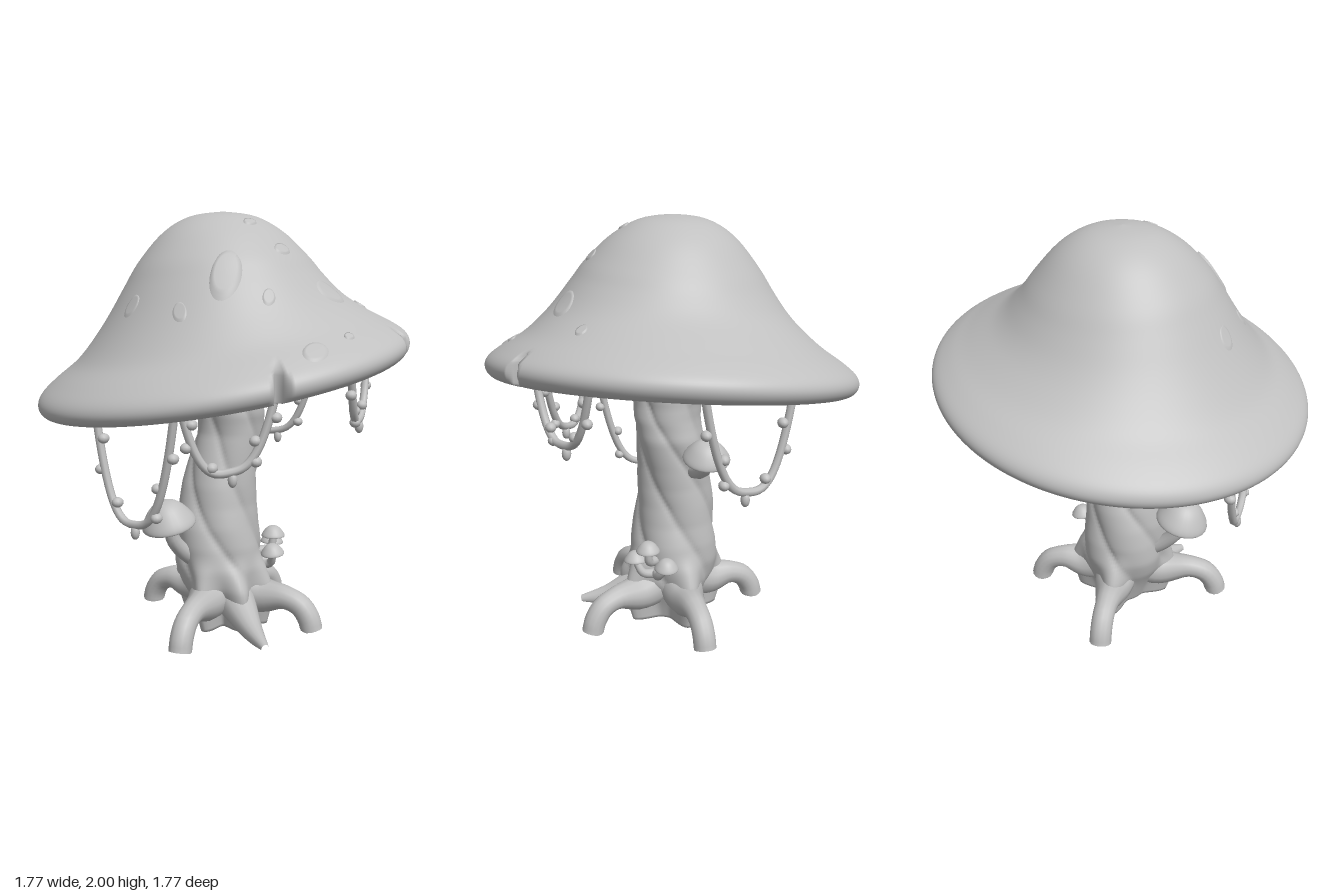
import * as THREE from 'three';

const V = (x, y, z) => new THREE.Vector3(x, y, z);
const smooth = THREE.MathUtils.smoothstep;
const grey = new THREE.MeshStandardMaterial({ color: 0xc0c0c0 });
grey.name = 'plain grey';

function add(parent, geometry, name) {
  const mesh = new THREE.Mesh(geometry, grey);
  mesh.name = name;
  parent.add(mesh);
  return mesh;
}

// Smallest difference between two angles
const angleGap = (a, b) => Math.abs(Math.atan2(Math.sin(a - b), Math.cos(a - b)));

// Closed ring surface: rows of points around the y axis, angle 0 at +z
function ringSurface(rows, segments, point) {
  const positions = [], index = [];
  for (let i = 0; i <= rows; i++) {
    for (let j = 0; j < segments; j++) {
      positions.push(...point(i / rows, (j / segments) * Math.PI * 2));
      if (i === rows) continue;
      const a = i * segments + j, c = i * segments + (j + 1) % segments;
      index.push(a, a + segments, c, c, a + segments, c + segments);
    }
  }
  const g = new THREE.BufferGeometry();
  g.setAttribute('position', new THREE.Float32BufferAttribute(positions, 3));
  g.setIndex(index);
  g.computeVertexNormals();
  return g;
}

// Tube whose radius follows a rule, never going below the ground
function taperTube(points, radius, n = 20, sides = 14) {
  const curve = new THREE.CatmullRomCurve3(points);
  const g = new THREE.TubeGeometry(curve, n, 1, sides);
  const p = g.attributes.position, v = V(0, 0, 0);
  for (let i = 0; i <= n; i++) {
    const c = curve.getPointAt(i / n);
    for (let j = 0; j <= sides; j++) {
      const k = i * (sides + 1) + j;
      v.fromBufferAttribute(p, k).sub(c).multiplyScalar(radius(i / n)).add(c);
      p.setXYZ(k, v.x, Math.max(v.y, 0), v.z);
    }
  }
  return g;
}

// Linear lookup in [key, value] pairs with increasing keys
function lookup(table, key) {
  let i = 1;
  while (i < table.length - 1 && table[i][0] < key) i++;
  const [k0, v0] = table[i - 1], [k1, v1] = table[i];
  return v0 + (v1 - v0) * THREE.MathUtils.clamp((key - k0) / (k1 - k0), 0, 1);
}

// Cap profile from the crown over the rim to the inside of the lip
const capProfile = new THREE.SplineCurve([
  [0, 2], [0.155, 1.977], [0.285, 1.903], [0.4, 1.78], [0.47, 1.68], [0.54, 1.583], [0.61, 1.503],
  [0.7, 1.42], [0.8, 1.353], [0.865, 1.3], [0.885, 1.255], [0.87, 1.215], [0.83, 1.195],
  [0.775, 1.205], [0.73, 1.25], [0.71, 1.31],
].map(([r, y]) => new THREE.Vector2(r, y)));
const topTable = capProfile.getPoints(90).slice(0, 55).map((p) => [p.x, p.y]);
const tilt = (x, z, r) => 0.15 * x * smooth(r, 0.38, 0.72) + 0.09 * z * smooth(r, 0.2, 0.55);

function buildCap(parent) {
  const cap = new THREE.Group();
  cap.name = 'cap';
  parent.add(cap);
  // Two V-shaped splits in the front rim
  const limit = (a) => Math.min(...[-0.525, 0.47].map((n) => {
    const d = angleGap(a, n);
    return d < 0.04 ? 0.775 + d * 2.8 : 1;
  }));
  add(cap, ringSurface(70, 300, (t, a) => {
    const p = capProfile.getPoint(t);
    const r = Math.min(p.x, limit(a)), x = r * Math.sin(a), z = r * Math.cos(a);
    return [x, p.y + tilt(x, z, p.x), z];
  }), 'capShell');

  // Slightly curved radial gills with rounded ridges and deep valleys
  add(cap, ringSurface(14, 384, (t, a) => {
    const r = 0.75 - 0.62 * t, turn = a + 0.22 * t * t;
    const ridge = Math.sqrt(Math.abs(Math.cos(16 * a))) * smooth(t, -0.05, 0.12);
    const x = r * Math.sin(turn), z = r * Math.cos(turn);
    return [x, 1.3 + 0.06 * t - 0.07 * ridge * (1 - 0.35 * t) + 0.15 * x + 0.09 * z, z];
  }), 'gills');

  // Slightly raised oval spots that follow the cap
  const spots = [
    [-0.32, 0.33, 0.083, 0.065, 0.018], [-0.22, 0.49, 0.035, 0.025], [-0.01, 0.38, 0.05, 0.025],
    [0.15, 0.53, 0.09, 0.05], [-0.22, 0.75, 0.07, 0.05], [0, 0.755, 0.03, 0.02],
    [-0.05, 0.22, 0.04, 0.025], [0.43, 0.49, 0.03, 0.03], [-0.52, -0.06, 0.03, 0.045],
    [-0.5, 0.23, 0.025, 0.04],
  ];
  for (const [cx, cz, rx, rz, lift = 0.007] of spots) {
    const g = new THREE.RingGeometry(0.001, 1, 28, 6);
    const p = g.attributes.position;
    for (let i = 0; i < p.count; i++) {
      const edge = Math.hypot(p.getX(i), p.getY(i)) > 0.99;
      const x = cx + p.getX(i) * rx, z = cz - p.getY(i) * rz, r = Math.hypot(x, z);
      p.setXYZ(i, x, lookup(topTable, r) + tilt(x, z, r) + (edge ? -0.006 : lift), z);
    }
    g.computeVertexNormals();
    add(cap, g, 'capSpot');
  }
}

function buildStem(parent) {
  // Arched roots as [angle, reach], and the angle of the pointed root
  const arched = [[0.36, 0.47], [1.7, 0.45], [3.3, 0.45], [-1.2, 0.5]];
  const pointed = -0.38;
  const rootAngles = [...arched.map((r) => r[0]), pointed];

  // Twisted five-strand trunk with a gentle bend, swelling into the roots
  const width = [[0, 0.13], [0.1, 0.165], [0.2, 0.2], [0.3, 0.213], [0.4, 0.21], [0.6, 0.188], [0.8, 0.17],
    [1, 0.158], [1.12, 0.162], [1.22, 0.18], [1.3, 0.2], [1.38, 0.23]];
  const bendX = [[0, 0], [0.5, -0.03], [0.7, -0.015], [0.95, 0.03], [1.15, 0.015], [1.38, -0.02]];
  const bendZ = [[0, 0], [0.6, -0.015], [0.8, 0], [1.05, 0.035], [1.38, 0.01]];
  add(parent, ringSurface(80, 120, (t, a) => {
    const y = Math.max(0, 1.38 * (1 - t / 0.985));
    const strand = Math.abs(Math.cos(2.5 * (a + 0.04 + 3.2 * y)));
    const swell = rootAngles.reduce((s, b) => s + Math.exp(-((angleGap(a, b) / 0.27) ** 2)), 0);
    const twisted = lookup(width, y) * (0.9 + 0.13 * Math.sqrt(strand) * smooth(y, 0.05, 0.3));
    const r = t > 0.99 ? 0.001 : twisted + 0.12 * Math.min(swell, 1) * (1 - smooth(y, 0.08, 0.38));
    return [lookup(bendX, y) + r * Math.sin(a), y, lookup(bendZ, y) + r * Math.cos(a)];
  }), 'stem');

  // Four arched roots with flat feet
  for (const [a, reach] of arched) {
    const at = (r, y) => V(r * Math.sin(a), y, r * Math.cos(a));
    const path = [at(0.06, 0.2), at(0.2, 0.145), at(reach - 0.14, 0.145), at(reach - 0.06, 0.115),
      at(reach - 0.015, 0.055), at(reach, 0)];
    add(parent, taperTube(path, (t) => 0.105 - 0.05 * smooth(t, 0.15, 0.65)), 'archedRoot');
    const foot = add(parent, new THREE.CircleGeometry(0.055, 14), 'rootFoot');
    foot.rotation.x = Math.PI / 2;
    foot.position.copy(at(reach, 0.001));
  }
  // One pointed root lying on the ground
  const along = (r, y) => V(r * Math.sin(pointed), y, r * Math.cos(pointed));
  add(parent, taperTube([along(0.06, 0.18), along(0.2, 0.11), along(0.34, 0.045), along(0.48, 0.008)],
    (t) => 0.12 - 0.1 * t), 'pointedRoot');
}

// Small mushroom: curved stalk from the trunk and a domed cap
function smallMushroom(parent, path, stalk, radius, height, lean) {
  const group = new THREE.Group();
  group.name = 'smallMushroom';
  parent.add(group);
  add(group, taperTube(path, (t) => stalk * (1.15 - 0.35 * t), 12, 12), 'stalk');
  const outline = new THREE.SplineCurve([[0, 0.12], [0.55, 0.06], [0.9, -0.08], [1, 0], [0.9, 0.28],
    [0.62, 0.7], [0.32, 0.94], [0, 1]].map(([r, y]) => new THREE.Vector2(r, y)));
  const points = outline.getPoints(28);
  points.forEach((p) => { p.x = Math.max(p.x, 0); });
  const cap = add(group, new THREE.LatheGeometry(points, 24), 'smallCap');
  cap.scale.set(radius, height, radius);
  cap.position.copy(path[path.length - 1]);
  cap.rotation.z = lean;
}

// Hanging vine between two points under the cap, dotted with buds
function vine(parent, a, b, bottom) {
  const group = new THREE.Group();
  group.name = 'vine';
  parent.add(group);
  const points = [];
  for (let i = 0; i <= 18; i++) {
    const t = i / 18, p = a.clone().lerp(b, t);
    p.y -= ((a.y + b.y) / 2 - bottom) * (1 - Math.abs(2 * t - 1) ** 2.9);
    points.push(p);
  }
  const curve = new THREE.CatmullRomCurve3(points);
  add(group, new THREE.TubeGeometry(curve, 56, 0.019, 8), 'vineStrand');
  const side = b.clone().sub(a).setY(0).normalize();
  const bud = new THREE.SphereGeometry(0.025, 12, 8);
  [0.2, 0.31, 0.42, 0.51, 0.64, 0.75, 0.86].forEach((t, i) => {
    const m = add(group, bud, 'bud');
    const out = i % 2 ? 1 : -1;
    m.position.copy(curve.getPointAt(t));
    if (i === 3) {
      m.position.y -= 0.035;
      m.scale.set(0.85, 1.35, 0.85);
    } else {
      m.position.addScaledVector(side, out * 0.028);
      m.scale.set(1.15, 0.95, 1);
    }
  });
}

export function createModel() {
  const model = new THREE.Group();
  model.name = 'mushroomTree';
  buildCap(model);
  buildStem(model);

  smallMushroom(model, [V(-0.15, 0.32, -0.03), V(-0.25, 0.39, -0.03), V(-0.31, 0.46, -0.03), V(-0.335, 0.54, -0.03)],
    0.038, 0.13, 0.118, 0.25);
  smallMushroom(model, [V(0.1, 0.79, -0.07), V(0.19, 0.81, -0.09), V(0.255, 0.85, -0.1), V(0.275, 0.9, -0.1)],
    0.04, 0.112, 0.09, -0.27);
  for (const [x, y, z, lean] of [[0.19, 0.415, 0.165, 0], [0.13, 0.345, 0.215, 0.12], [0.265, 0.35, 0.09, -0.12]]) {
    smallMushroom(model, [V(0.13, y - 0.08, 0.11), V((x + 0.17) / 2, y - 0.06, (z + 0.15) / 2), V(x, y, z)],
      0.022, 0.058, 0.05, lean);
  }

  vine(model, V(-0.27, 1.3, 0.6), V(-0.61, 1.22, 0.33), 0.88);
  vine(model, V(-0.58, 1.2, 0.29), V(-0.62, 1.16, -0.22), 0.6);
  vine(model, V(0.13, 1.34, 0.67), V(0.53, 1.38, 0.47), 1.03);
  vine(model, V(0.7, 1.38, 0.03), V(0.53, 1.3, -0.43), 0.85);
  return model;
}
